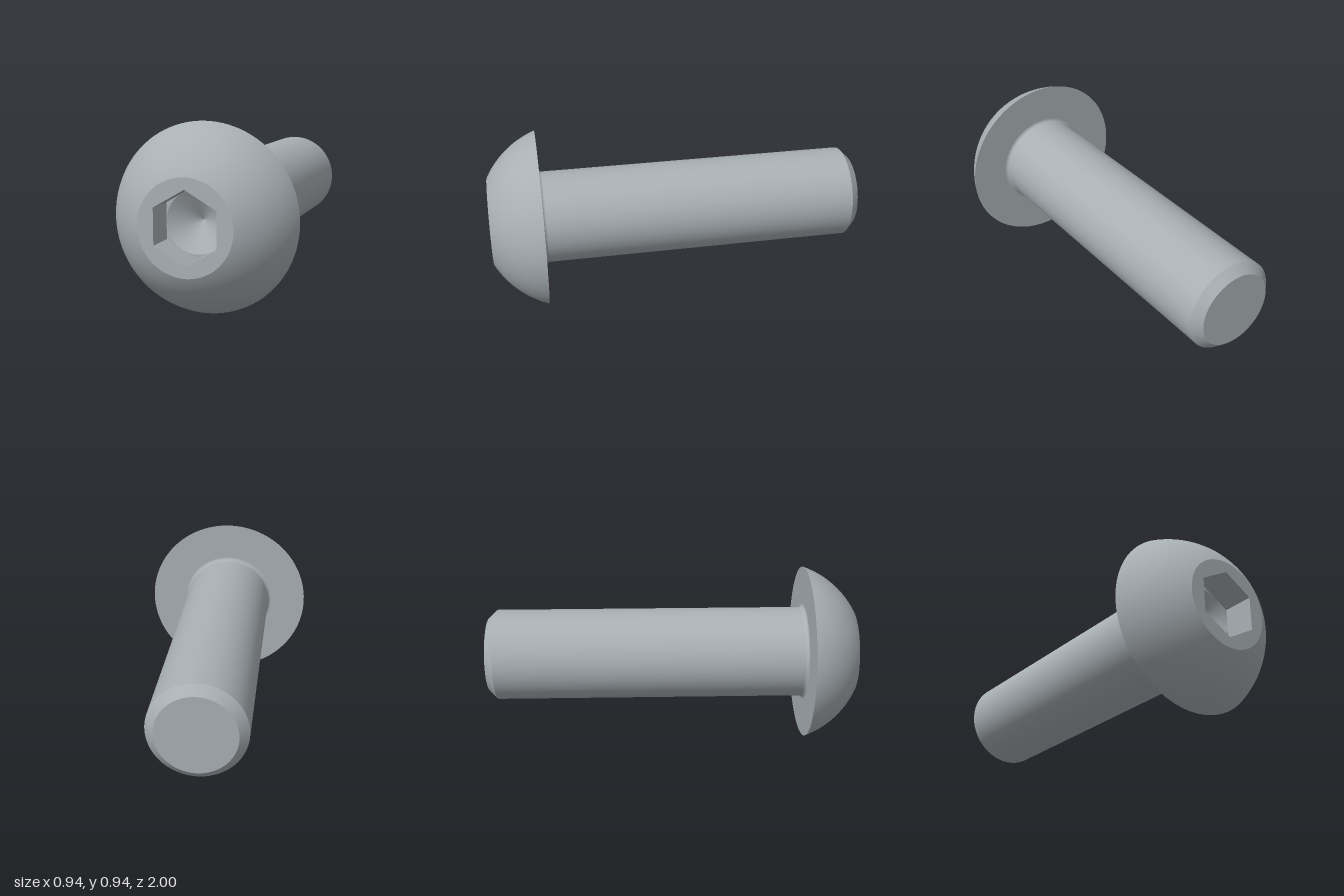
import * as THREE from 'three';

export function createModel() {
  const steel = new THREE.MeshStandardMaterial({ color: 0xa9b0b5 });
  steel.name = 'steel grey';

  const bolt = new THREE.Group();
  bolt.name = 'buttonHeadBolt';

  const add = (name, geometry) => {
    const mesh = new THREE.Mesh(geometry, steel);
    mesh.name = name;
    bolt.add(mesh);
  };

  // Turn a profile of [radius, z] pairs around the z axis.
  const turn = (profile, segments = 96) =>
    new THREE.LatheGeometry(profile.map(([r, z]) => new THREE.Vector2(r, z)), segments)
      .rotateX(Math.PI / 2);

  // Points along an arc in the profile plane.
  const arc = (r, z, radius, from, to, steps) =>
    Array.from({ length: steps + 1 }, (_, i) => {
      const a = from + (to - from) * i / steps;
      return [r + radius * Math.cos(a), z + radius * Math.sin(a)];
    });

  const headR = 0.469, headZ = 0.728, faceR = 0.234;
  const shankR = 0.246, tipR = 0.2, chamferZ = -0.954, fillet = 0.02;
  const hexFlat = 0.154, hexR = hexFlat / Math.cos(Math.PI / 6), floorZ = 0.84;

  // Shank, from the chamfered tip up to the fillet under the head
  add('shankTip', turn([[0, -1], [tipR, -1]]));
  add('shankChamfer', turn([[tipR, -1], [shankR, chamferZ]]));
  add('shank', turn([[shankR, chamferZ], [shankR, headZ - fillet]]));
  add('shankFillet', turn(arc(shankR + fillet, headZ - fillet, fillet, Math.PI, Math.PI / 2, 8)));

  // Domed head: a slice of a sphere centred on the axis
  const domeZ = (1 + faceR ** 2 - headR ** 2 - headZ ** 2) / (2 * (1 - headZ));
  const domeR = Math.hypot(headR, headZ - domeZ);
  add('headUnderside', turn([[shankR + fillet, headZ], [headR, headZ]]));
  add('headDome', turn(arc(0, domeZ, domeR,
    Math.atan2(headZ - domeZ, headR), Math.atan2(1 - domeZ, faceR), 24)));

  // Hexagon with a corner at the top
  const hexPoints = Array.from({ length: 6 }, (_, i) => {
    const a = Math.PI / 2 + i * Math.PI / 3;
    return new THREE.Vector2(hexR * Math.cos(a), hexR * Math.sin(a));
  });

  // Flat front face around the socket
  const face = new THREE.Shape().absarc(0, 0, faceR, 0, Math.PI * 2);
  face.holes.push(new THREE.Path(hexPoints));
  add('headFace', new THREE.ShapeGeometry(face, 48).translate(0, 0, 1));

  // Hex socket: flat walls, corner ledges and a drilled cone
  const walls = turn([[hexR, 1], [hexR, floorZ]], 6).toNonIndexed();
  walls.computeVertexNormals();
  add('socketWalls', walls);

  const ledge = new THREE.Shape(hexPoints);
  ledge.holes.push(new THREE.Path().absarc(0, 0, hexFlat * 0.999, 0, Math.PI * 2, true));
  add('socketLedge', new THREE.ShapeGeometry(ledge, 48).translate(0, 0, floorZ));
  add('socketCone', turn([[hexFlat, floorZ], [0, floorZ - 0.089]]));

  bolt.position.y = headR;
  const model = new THREE.Group();
  model.name = 'bolt';
  model.add(bolt);
  return model;
}
